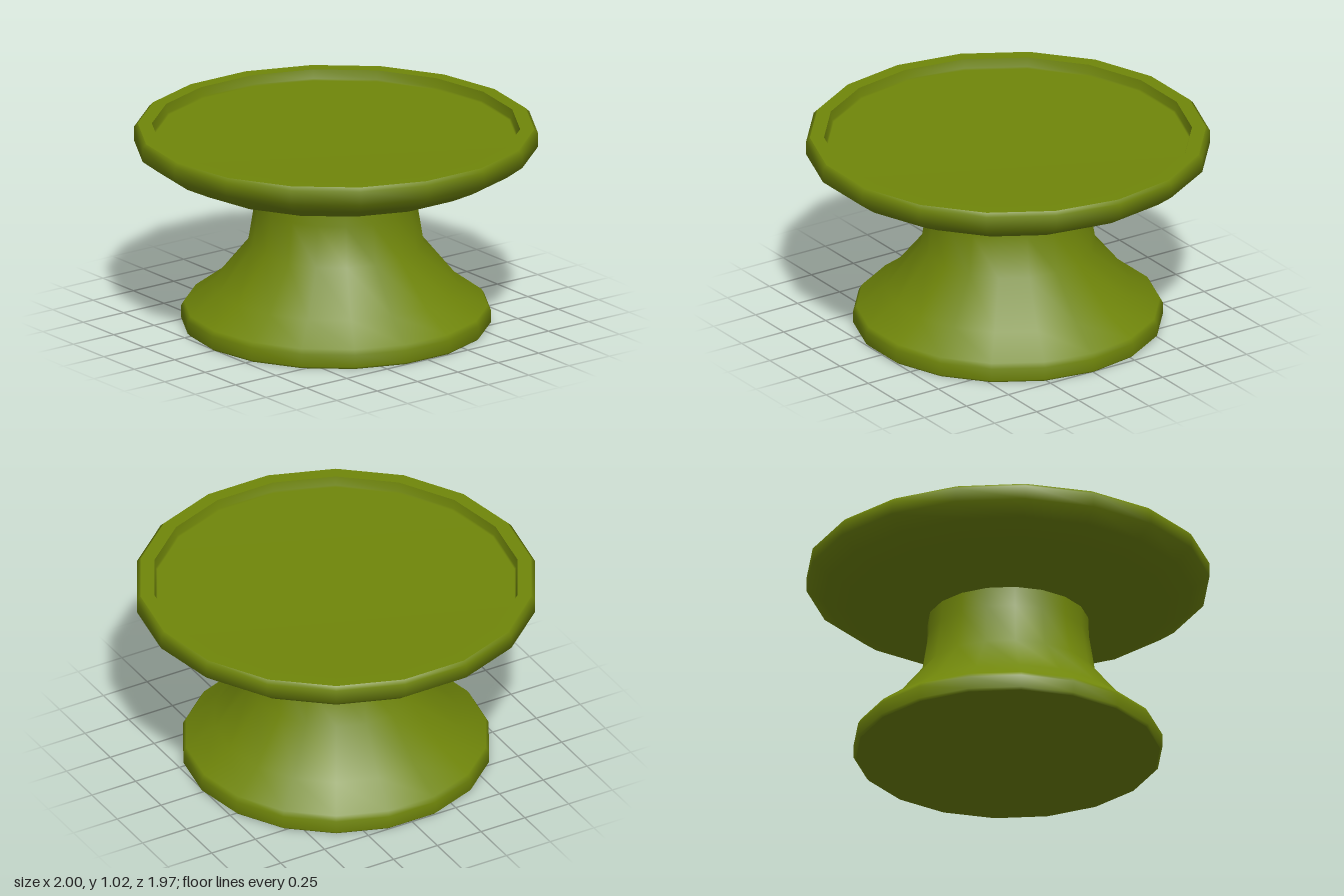
import * as THREE from 'three';

const SIDES = 18;
const material = new THREE.MeshStandardMaterial({ color: 0x70860a });

// Revolve a profile of [radius, height] points, with corners on the x axis.
// Separate profiles meet in hard edges; each one is smooth in itself.
function turned(name, profile) {
  const points = profile.map(([r, y]) => new THREE.Vector2(r, y));
  const mesh = new THREE.Mesh(new THREE.LatheGeometry(points, SIDES, Math.PI / 2), material);
  mesh.name = name;
  return mesh;
}

export function createModel() {
  const group = new THREE.Group();
  group.name = 'pedestalDish';

  // Foot and flared stem
  const pedestal = new THREE.Group();
  pedestal.name = 'pedestal';
  pedestal.add(
    turned('footUnderside', [[0, 0], [0.755, 0]]),
    turned('footAndStem', [
      [0.755, 0], [0.767, 0.012], [0.767, 0.075], [0.752, 0.1],
      [0.61, 0.205], [0.435, 0.42], [0.402, 0.625], [0.398, 0.73],
    ]),
  );

  // Dish: outside, flat rim, and a shallow recess with a softly rounded corner
  const dish = new THREE.Group();
  dish.name = 'dish';
  dish.add(
    turned('dishOutside', [
      [0.398, 0.727], [0.785, 0.802], [0.92, 0.868], [1, 0.928], [1, 1.0], [0.982, 1.018],
    ]),
    turned('rim', [[0.982, 1.018], [0.912, 1.018]]),
    turned('recess', [[0.912, 1.018], [0.905, 0.972], [0.897, 0.964], [0, 0.964]]),
  );

  group.add(pedestal, dish);
  return group;
}
